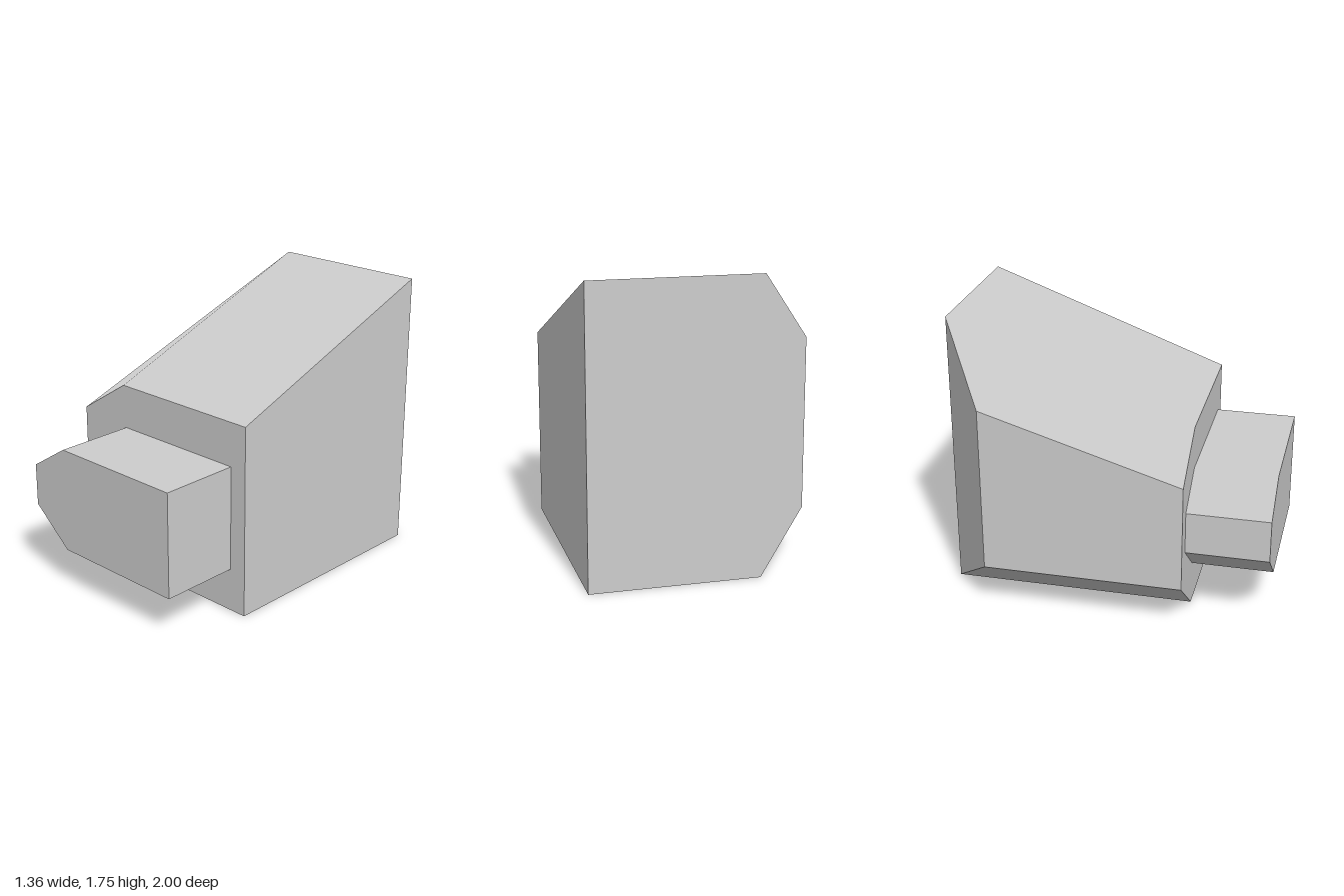
import * as THREE from 'three';

const grey = new THREE.MeshStandardMaterial({ color: 0xcccccc });
grey.name = 'plainGrey';

// Solid lofted between two six-cornered outlines, listed from the +x bottom corner
// clockwise as seen from the front. Chamfers are shaded softly with the face they adjoin.
function loft(name, front, back) {
  const pts = [...front, ...back].map((p) => new THREE.Vector3(...p));
  const pos = [], nor = [];

  const quad = (corners, normal) => {
    const [a, b, c, d] = corners.map((i) => pts[i]);
    const n = normal || b.clone().sub(a).cross(d.clone().sub(a)).normalize();
    for (const v of [a, b, c, a, c, d]) {
      pos.push(v.x, v.y, v.z);
      nor.push(n.x, n.y, n.z);
    }
    return n;
  };
  const side = (i, normal) => {
    const j = (i + 1) % 6;
    return quad([i, j, j + 6, i + 6], normal);
  };

  // Front and back
  quad([1, 4, 3, 2], quad([0, 5, 4, 1]));
  quad([8, 9, 10, 7], quad([7, 10, 11, 6]));
  // Underside, top and the two flanks
  side(1, side(0));
  side(3, side(4));
  side(2);
  side(5);

  const geo = new THREE.BufferGeometry();
  geo.setAttribute('position', new THREE.Float32BufferAttribute(pos, 3));
  geo.setAttribute('normal', new THREE.Float32BufferAttribute(nor, 3));
  const mesh = new THREE.Mesh(geo, grey);
  mesh.name = name;
  return mesh;
}

export function createModel() {
  const group = new THREE.Group();
  group.name = 'slopedBlock';

  // Main block: roof rises to the back, -x corners cut away
  group.add(loft('mainBody',
    [[0.68, 0, 0.5], [-0.325, 0, 0.5], [-0.68, 0.295, 0.5],
      [-0.68, 0.96, 0.5], [-0.325, 1.19, 0.5], [0.68, 1.19, 0.5]],
    [[0.68, 0, -1], [-0.325, 0, -1], [-0.68, 0.295, -0.71],
      [-0.68, 1.325, -0.71], [-0.325, 1.75, -1], [0.68, 1.75, -1]]));

  // Smaller straight block projecting from the front
  const outline = [[0.57, 0.27], [-0.31, 0.27], [-0.575, 0.49],
    [-0.575, 0.75], [-0.31, 0.92], [0.57, 0.92]];
  group.add(loft('frontBlock',
    outline.map(([x, y]) => [x, y, 1]),
    outline.map(([x, y]) => [x, y, 0.5])));

  return group;
}
